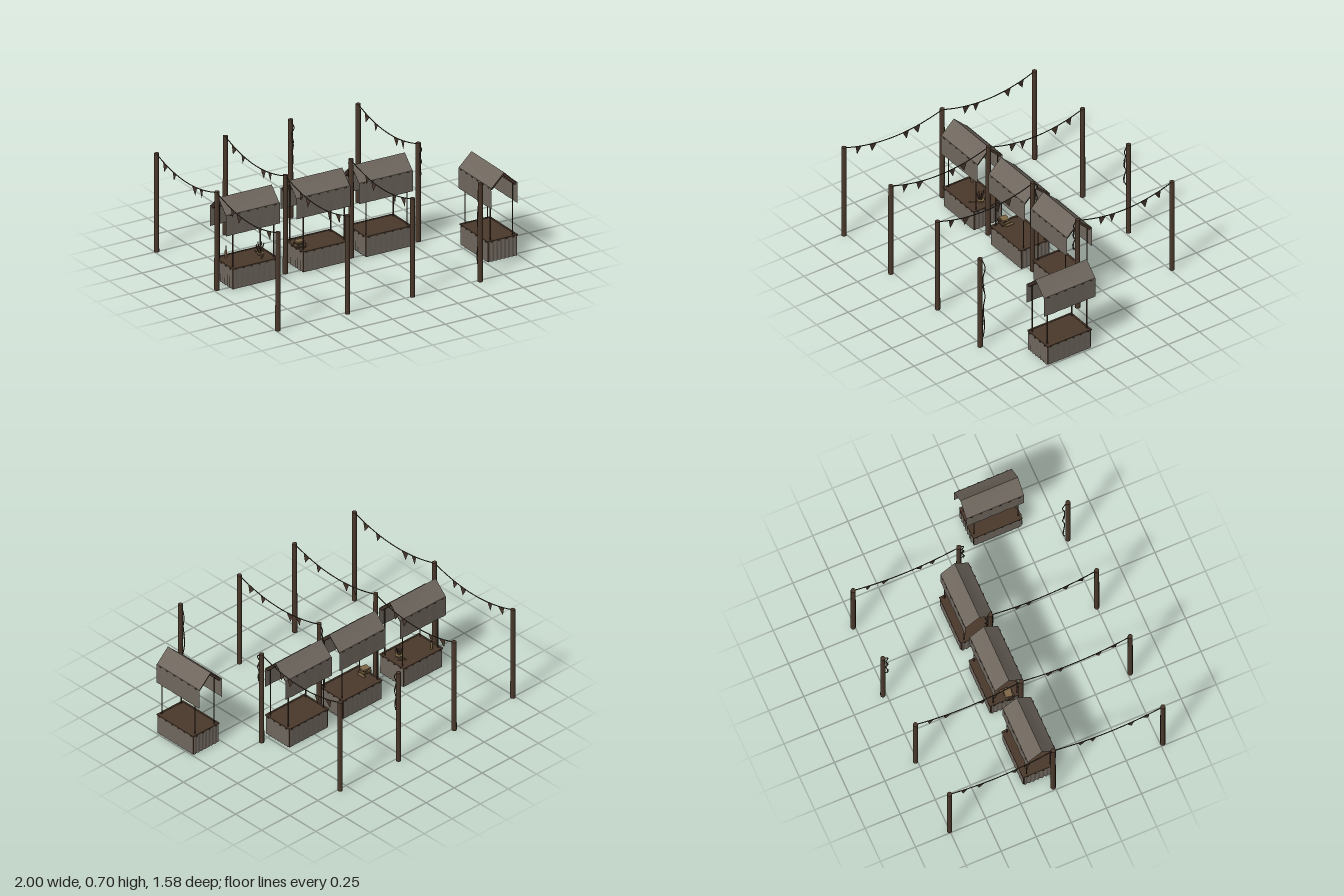
import * as THREE from 'three';

const mat = (name, color, extra = {}) => {
  const m = new THREE.MeshStandardMaterial({ color, ...extra });
  m.name = name;
  return m;
};

export function createModel() {
  const cloth = mat('grey cloth', 0x6f675e, { side: THREE.DoubleSide });
  const wood = mat('dark wood', 0x4a392c);
  const pennant = mat('brown pennant', 0x46362b, { side: THREE.DoubleSide });
  const rope = mat('rope', 0x3f372f);
  const goods = mat('tan goods', 0x7d6747);

  const root = new THREE.Group();
  root.name = 'marketRow';

  const add = (parent, name, geo, material, x = 0, y = 0, z = 0) => {
    const m = new THREE.Mesh(geo, material);
    m.name = name;
    m.position.set(x, y, z);
    parent.add(m);
    return m;
  };
  const box = (parent, name, material, w, h, d, x, y, z) =>
    add(parent, name, new THREE.BoxGeometry(w, h, d), material, x, y, z);

  // Cloth sheet: a grid whose vertices follow fn(u, v) -> [x, y, z]
  const sheet = (parent, name, nu, nv, fn) => {
    const g = new THREE.PlaneGeometry(1, 1, nu, nv);
    const p = g.attributes.position;
    for (let i = 0; i < p.count; i++) p.setXYZ(i, ...fn(p.getX(i) + 0.5, p.getY(i) + 0.5));
    g.computeVertexNormals();
    return add(parent, name, g, cloth);
  };

  function stall(x, z, turn) {
    const s = new THREE.Group();
    s.name = 'stall';
    s.position.set(x, 0, z);
    s.rotation.y = turn;
    root.add(s);
    const bx = 0.006, rx = -0.006; // base and roof sit slightly off each other

    // Counter and its skirt
    box(s, 'counter', wood, 0.346, 0.012, 0.222, bx, 0.141, 0);
    for (const k of [-1, 1]) {
      box(s, 'counterLongEdge', wood, 0.35, 0.008, 0.012, bx, 0.146, k * 0.111);
      box(s, 'counterShortEdge', wood, 0.012, 0.008, 0.222, bx + k * 0.17, 0.146, 0);
      box(s, 'underBeam', wood, 0.33, 0.016, 0.012, bx, 0.127, k * 0.1);
      sheet(s, 'longSkirt', 32, 1, (u, v) =>
        [bx + (u - 0.5) * 0.336, 0.003 + v * 0.139, k * (0.114 + (1 - v) * 0.001 * Math.sin(u * 50))]);
      sheet(s, 'endSkirt', 48, 1, (u, v) =>
        [bx + k * (0.175 + 0.003 * Math.sin(u * 45) * (1 - 0.5 * v)), 0.003 + v * 0.139, (u - 0.5) * 0.214]);
      for (const j of [-1, 1]) {
        box(s, 'baseLeg', wood, 0.012, 0.14, 0.012, bx + k * 0.164, 0.07, j * 0.104);
        add(s, 'canopyPost', new THREE.CylinderGeometry(0.004, 0.004, 0.39, 6), wood, bx + k * 0.157, 0.338, j * 0.085);
      }
      // Tacks along the counter edge
      for (let i = 0; i < 6; i++)
        box(s, 'tack', wood, 0.01, 0.006, 0.006, bx - 0.15 + i * 0.06, 0.14, k * 0.116);
      for (let i = 0; i < 4; i++)
        box(s, 'tack', wood, 0.006, 0.006, 0.01, bx + k * 0.177, 0.14, -0.084 + i * 0.056);
    }

    // Canopy: two sagging slopes, two valances, rafters and beams
    for (const k of [-1, 1]) {
      sheet(s, 'roofSlope', 16, 6, (u, v) =>
        [rx + (u - 0.5) * 0.41, 0.528 + v * 0.095 - 0.005 * Math.sin(Math.PI * u) * Math.sin(Math.PI * v), k * 0.099 * (1 - v)]);
      sheet(s, 'valance', 16, 2, (u, v) =>
        [rx + (u - 0.5) * 0.412, 0.384 + v * 0.148, k * (0.1 + 0.0015 * (1 - v) * Math.sin(u * 25))]);
      box(s, 'eaveBeam', wood, 0.38, 0.012, 0.012, rx, 0.518, k * 0.09);
      for (const e of [-1, 1]) {
        const r = box(s, 'rafter', wood, 0.014, 0.016, 0.132, rx + e * 0.188, 0.564, k * 0.046);
        r.rotation.x = k * Math.atan2(0.095, 0.099);
      }
      for (let i = 0; i < 6; i++)
        box(s, 'valanceTack', wood, 0.016, 0.005, 0.004, rx - 0.17 + i * 0.068, 0.525, k * 0.102);
    }
    box(s, 'ridgeBeam', wood, 0.39, 0.014, 0.014, rx, 0.604, 0);
    return s;
  }

  const ZC = -0.07;
  const first = stall(-0.72, ZC, 0);
  const second = stall(-0.181, ZC, 0);
  stall(0.298, ZC, 0);
  stall(0.879, 0.35, -Math.PI / 2);

  // Bottle on the first counter
  const profile = [[0, 0], [0.008, 0], [0.008, 0.048], [0.003, 0.06], [0.003, 0.085], [0, 0.085]];
  add(first, 'bottle', new THREE.LatheGeometry(profile.map(p => new THREE.Vector2(...p)), 10), goods, -0.108, 0.148, -0.072);

  // Heap of sticks in a low dish on the first counter
  const heap = new THREE.Group();
  heap.name = 'stickHeap';
  heap.position.set(0.103, 0.148, 0.008);
  first.add(heap);
  add(heap, 'dish', new THREE.CylinderGeometry(0.026, 0.018, 0.016, 10), goods, 0.005, 0.008, 0);
  for (let i = 0; i < 9; i++) {
    const a = i * 2.4, len = 0.045 + (i % 3) * 0.014;
    const st = add(heap, 'stick', new THREE.CylinderGeometry(0.0035, 0.0035, len, 6), i % 2 ? goods : wood,
      0.016 * Math.cos(a), 0.012 + len / 2, 0.016 * Math.sin(a));
    st.rotation.set(0.35 * Math.sin(a), 0, -0.35 * Math.cos(a));
  }
  for (let i = 0; i < 4; i++) {
    const st = add(heap, 'looseStick', new THREE.CylinderGeometry(0.004, 0.004, 0.06, 6), goods, -0.015 + i * 0.012, 0.006, 0.045 - i * 0.03);
    st.rotation.set(Math.PI / 2, 0, 0.5 - i * 0.5);
  }

  // Stack of flat boards on the second counter
  for (let i = 0; i < 4; i++) {
    const b = box(second, 'stackedBoard', i % 2 ? goods : wood, 0.075 - i * 0.006, 0.009, 0.05,
      -0.147 + (i % 2) * 0.006, 0.154 + i * 0.011, 0.03 - (i % 2) * 0.006);
    b.rotation.y = (i % 3 - 1) * 0.15;
  }
  const roll = add(second, 'roll', new THREE.CylinderGeometry(0.008, 0.008, 0.06, 8), goods, -0.1, 0.156, 0.01);
  roll.rotation.x = Math.PI / 2;

  // Poles: four columns of three, back to front
  const columns = [
    [[-0.985, -0.752], [-0.977, -0.01], [-0.985, 0.767]],
    [[-0.453, -0.762], [-0.453, -0.01], [-0.453, 0.767]],
    [[0.053, -0.773], [0.05, -0.01], [0.055, 0.75]],
    [[0.563, -0.762], [0.563, -0.01], [0.563, 0.767]],
  ];
  const poleGeo = new THREE.CylinderGeometry(0.0165, 0.0175, 0.7, 12);
  for (const col of columns) for (const [x, z] of col) add(root, 'pole', poleGeo, wood, x, 0.35, z);

  // Triangular pennant hanging from the rope, in the rope's plane
  const tri = new THREE.Shape([[-0.027, 0], [0, -0.06], [0.027, 0]].map(p => new THREE.Vector2(...p)));
  const flagGeo = new THREE.ShapeGeometry(tri).rotateY(-Math.PI / 2);
  const flag = (p, slope, yaw) => {
    const f = add(root, 'pennant', flagGeo, pennant, p.x, p.y, p.z);
    f.rotation.set(-slope, yaw, 0, 'YXZ');
  };

  // Bunting sagging from a middle pole to an outer pole
  const bunting = ([x0, z0], [x1, z1]) => {
    const k = Math.sign(z1 - z0);
    const c = new THREE.QuadraticBezierCurve3(
      new THREE.Vector3(x0, 0.692, z0), new THREE.Vector3((x0 + x1) / 2, 0.562, (z0 + z1) / 2),
      new THREE.Vector3(x1, 0.692, z1 - k * 0.01));
    add(root, 'buntingRope', new THREE.TubeGeometry(c, 24, 0.0035, 5), rope);
    [0.26, 0.37, 0.71, 0.86].forEach((t, i) => {
      const d = c.getTangent(t);
      flag(c.getPoint(t), Math.atan2(d.y, d.z * k) * k, (i % 2 ? 1 : -1) * 0.12);
    });
  };

  // Torn bunting dangling beside a pole; k is the side along z
  const dangling = ([x, z], k, length) => {
    const pts = [];
    for (let i = 0; i <= 8; i++) {
      const t = i / 8;
      pts.push(new THREE.Vector3(x + 0.004 * Math.sin(i * 1.7), 0.69 - t * length,
        z + k * (i ? 0.03 + 0.008 * Math.sin(i * 2.1) : 0.01)));
    }
    const c = new THREE.CatmullRomCurve3(pts);
    add(root, 'tornRope', new THREE.TubeGeometry(c, 32, 0.0035, 5), rope);
    for (const t of [0.35, 0.8]) {
      // Limp pennant folded against the rope
      const f = add(root, 'limpPennant', new THREE.ShapeGeometry(tri), pennant);
      f.position.copy(c.getPoint(t));
      f.scale.set(0.3, 1, 1);
      f.rotation.y = Math.PI / 2;
    }
  };

  columns.forEach(([back, mid, front], i) => {
    if (i === 2) {
      dangling(mid, -1, 0.25);
      dangling(back, 1, 0.3);
    } else bunting(mid, back);
    if (i === 3) {
      dangling(mid, 1, 0.22);
      dangling(front, -1, 0.62);
    } else bunting(mid, front);
  });

  return root;
}
